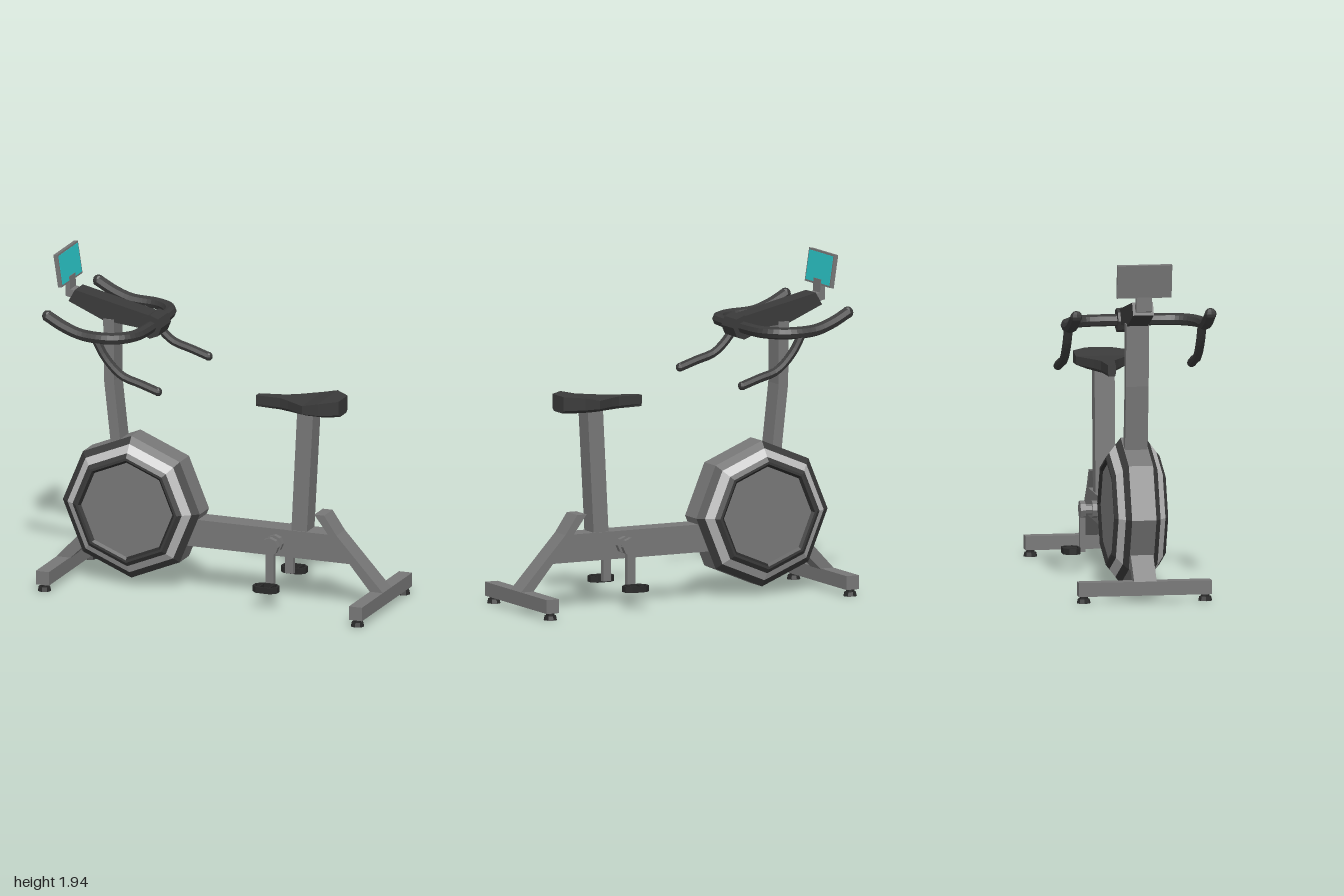
import * as THREE from 'three';

const mat = (color) => new THREE.MeshStandardMaterial({ color, flatShading: true });
const frameMat = mat(0x777777), darkMat = mat(0x3a3a3a), lightMat = mat(0xbbbbbb);
const rubberMat = mat(0x2a2a2a), screenMat = mat(0x2ac4c6);

export function createModel() {
  const bike = new THREE.Group();
  bike.name = 'exerciseBike';

  const add = (name, geometry, material, x = 0, y = 0, z = 0, parent = bike) => {
    const mesh = new THREE.Mesh(geometry, material);
    mesh.name = name;
    mesh.position.set(x, y, z);
    parent.add(mesh);
    return mesh;
  };
  const box = (name, w, h, d, material, x, y, z, parent) =>
    add(name, new THREE.BoxGeometry(w, h, d), material, x, y, z, parent);
  // Side profile extruded symmetrically across z
  const slab = (name, points, halfWidth, material) => {
    const shape = new THREE.Shape(points.map((p) => new THREE.Vector2(...p)));
    const g = new THREE.ExtrudeGeometry(shape, { depth: halfWidth * 2, bevelEnabled: false });
    return add(name, g.translate(0, 0, -halfWidth), material);
  };
  // Round bar along z
  const barrel = (name, r, length, material, x, y, z, parent) =>
    add(name, new THREE.CylinderGeometry(r, r, length, 8).rotateX(Math.PI / 2), material, x, y, z, parent);
  // Octagonal tube with rounded ends
  const pipe = (name, points, r, segments) => {
    const group = new THREE.Group();
    group.name = name;
    const pts = points.map((p) => new THREE.Vector3(...p));
    const curve = new THREE.CatmullRomCurve3(pts, false, 'centripetal');
    add(name + 'Tube', new THREE.TubeGeometry(curve, segments, r, 8), darkMat, 0, 0, 0, group);
    for (const p of [pts[0], pts[pts.length - 1]])
      add(name + 'Tip', new THREE.SphereGeometry(r * 0.98, 8, 6), darkMat, p.x, p.y, p.z, group);
    bike.add(group);
  };

  // Frame
  slab('mainBeam', [[-0.5, 0.27], [0.81, 0.27], [0.67, 0.43], [-0.5, 0.43]], 0.065, frameMat);
  slab('rearStrut', [[0.92, 0.12], [1, 0.12], [0.715, 0.43], [0.64, 0.54], [0.58, 0.54], [0.67, 0.42]], 0.065, frameMat);
  slab('frontStrut', [[-1, 0.12], [-0.92, 0.115], [-0.6, 0.43], [-0.68, 0.46]], 0.065, frameMat);
  slab('frontPost', [[-0.66, 0.75], [-0.6, 0.75], [-0.65, 1.2], [-0.65, 1.56], [-0.715, 1.56], [-0.71, 1.2]], 0.065, frameMat);
  slab('seatPost', [[0.435, 0.4], [0.53, 0.4], [0.57, 1.14], [0.472, 1.14]], 0.058, frameMat);

  // Floor bars with rubber feet
  for (const s of [-1, 1]) {
    box('floorBar', 0.08, 0.08, 0.765, frameMat, s * 0.96, 0.08, 0);
    for (const z of [-0.35, 0.35]) {
      add('foot', new THREE.CylinderGeometry(0.034, 0.04, 0.025, 8), rubberMat, s * 0.96, 0.0125, z);
      add('footStem', new THREE.CylinderGeometry(0.025, 0.025, 0.02, 8), rubberMat, s * 0.96, 0.033, z);
    }
  }

  // Flywheel: octagonal bands revolved about the axle, [radius, z]
  const wheel = new THREE.Group();
  wheel.name = 'flywheel';
  wheel.position.set(-0.54, 0.465, 0);
  bike.add(wheel);
  const band = (name, profile, material) => {
    const pts = profile.map((p) => new THREE.Vector2(...p));
    add(name, new THREE.LatheGeometry(pts, 8).rotateX(Math.PI / 2), material, 0, 0, 0, wheel);
  };
  band('wheelRim', [[0.42, -0.07], [0.42, 0.07]], frameMat);
  for (const s of [-1, 1]) {
    const side = (name, profile, material) =>
      band(name, s > 0 ? profile : profile.map(([r, z]) => [r, -z]).reverse(), material);
    side('wheelChamfer', [[0.42, 0.07], [0.38, 0.1]], darkMat);
    side('wheelStripe', [[0.38, 0.1], [0.335, 0.135]], lightMat);
    side('wheelInnerRing', [[0.335, 0.135], [0.31, 0.155], [0.295, 0.155]], darkMat);
    side('wheelRecess', [[0.295, 0.155], [0.28, 0.14]], rubberMat);
    side('wheelCover', [[0.28, 0.14], [0, 0.14]], frameMat);
  }

  // Saddle: lofted six-point sections, [x, half width, top, lower edge, bottom half width]
  const sections = [
    [0.205, 0.022, 1.195, 1.145, 0.018], [0.36, 0.04, 1.2, 1.145, 0.03],
    [0.42, 0.072, 1.2, 1.15, 0.05], [0.54, 0.155, 1.203, 1.155, 0.09],
    [0.635, 0.155, 1.224, 1.155, 0.09], [0.73, 0.07, 1.226, 1.145, 0.05],
  ];
  const pos = [], idx = [];
  for (const [x, w, top, low, b] of sections)
    pos.push(x, top, -w, x, top, w, x, low, w, x, 1.13, b, x, 1.13, -b, x, low, -w);
  const last = (sections.length - 1) * 6;
  for (let i = 0; i < last; i += 6)
    for (let j = 0; j < 6; j++) {
      const k = (j + 1) % 6;
      idx.push(i + j, i + k, i + 6 + j, i + k, i + 6 + k, i + 6 + j);
    }
  for (let j = 1; j < 5; j++) idx.push(0, j + 1, j, last, last + j, last + j + 1);
  const saddle = new THREE.BufferGeometry();
  saddle.setAttribute('position', new THREE.Float32BufferAttribute(pos, 3));
  saddle.setIndex(idx);
  saddle.computeVertexNormals();
  add('saddle', saddle, darkMat);

  // Handlebar stem and clamp
  slab('handlebarStem', [[-0.93, 1.64], [-0.72, 1.55], [-0.42, 1.52], [-0.4, 1.6], [-0.89, 1.71]], 0.06, darkMat);
  barrel('handlebarClamp', 0.07, 0.15, darkMat, -0.425, 1.545, 0);

  // Upper handlebar, one sweep from tip to tip
  const half = [
    [-0.925, 1.64, 0.387], [-0.83, 1.59, 0.387], [-0.72, 1.553, 0.387], [-0.57, 1.545, 0.385],
    [-0.49, 1.545, 0.345], [-0.437, 1.545, 0.27], [-0.425, 1.545, 0.2],
  ];
  pipe('handlebar', [...half, ...half.map(([x, y, z]) => [x, y, -z]).reverse()], 0.035, 56);

  // Lower grips
  for (const s of [-1, 1])
    pipe('lowerGrip', [[-0.64, 1.55], [-0.57, 1.43], [-0.47, 1.335], [-0.36, 1.3], [-0.25, 1.265]]
      .map(([x, y]) => [x, y, s * 0.385]), 0.026, 14);

  // Display on its bent neck
  slab('displayNeck', [[-0.955, 1.665], [-0.86, 1.64], [-0.86, 1.69], [-0.925, 1.705], [-0.93, 1.78], [-0.955, 1.78]], 0.045, frameMat);
  const display = new THREE.Group();
  display.name = 'display';
  display.position.set(-0.957, 1.84, 0);
  display.rotation.z = 0.15;
  bike.add(display);
  box('displayCase', 0.024, 0.192, 0.315, frameMat, 0, 0, 0, display);
  box('displayScreen', 0.004, 0.17, 0.292, screenMat, 0.0125, 0, 0, display);

  // Cranks and pedals
  const oct = (w, d) => [[-w, -d * 0.4], [-w * 0.6, -d], [w * 0.6, -d], [w, -d * 0.4],
    [w, d * 0.4], [w * 0.6, d], [-w * 0.6, d], [-w, d * 0.4]].map((p) => new THREE.Vector2(...p));
  for (const s of [-1, 1]) {
    const crank = new THREE.Group();
    crank.name = 'crank';
    crank.position.set(0.345, 0.35, 0);
    bike.add(crank);
    barrel('crankBearing', 0.05, 0.03, frameMat, 0, 0, s * 0.08, crank);
    barrel('crankAxle', 0.03, 0.06, frameMat, 0, 0, s * 0.115, crank);
    barrel('crankBoss', 0.052, 0.03, frameMat, 0, 0, s * 0.15, crank);
    box('crankArm', 0.05, 0.25, 0.03, frameMat, 0, -0.115, s * 0.15, crank);
    const ring = new THREE.Shape(oct(0.075, 0.05));
    ring.holes.push(new THREE.Path(oct(0.063, 0.04).reverse()));
    const ringGeo = new THREE.ExtrudeGeometry(ring, { depth: 0.035, bevelEnabled: false }).rotateX(-Math.PI / 2);
    add('pedal', ringGeo, rubberMat, 0, -0.25, s * 0.215, crank);
    for (const x of [-0.032, 0.032])
      box('pedalRail', 0.008, 0.03, 0.09, rubberMat, x, -0.2325, s * 0.215, crank);
  }
  return bike;
}
